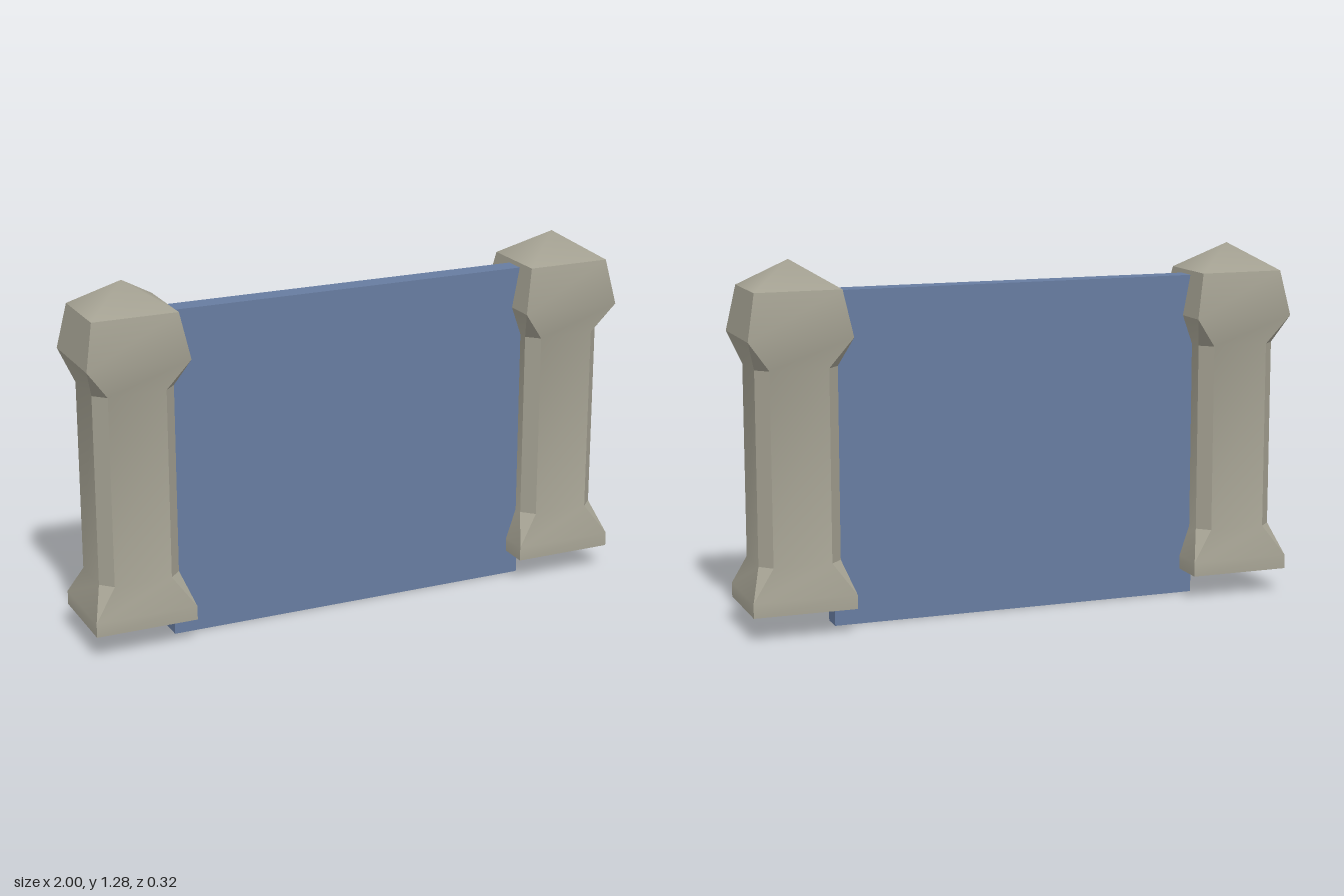
import * as THREE from 'three';
import { toCreasedNormals } from 'three/addons/utils/BufferGeometryUtils.js';

// Rectangular ring with half sizes hx, hz and corners cut back by cx, cz
function ring(y, hx, hz, cx = 0, cz = 0) {
  return [
    [hx, y, hz - cz], [hx - cx, y, hz],
    [cx - hx, y, hz], [-hx, y, hz - cz],
    [-hx, y, cz - hz], [cx - hx, y, -hz],
    [hx - cx, y, -hz], [hx, y, cz - hz],
  ];
}

// Joins stacked rings into a closed-bottom skin, skipping collapsed triangles
function loft(rings) {
  const pos = [];
  const same = (p, q) => p.every((v, i) => Math.abs(v - q[i]) < 1e-6);
  const tri = (a, b, c) => {
    if (!same(a, b) && !same(b, c) && !same(a, c)) pos.push(...a, ...b, ...c);
  };
  for (let r = 0; r < rings.length - 1; r++) {
    const lo = rings[r], hi = rings[r + 1];
    for (let i = 0; i < 8; i++) {
      const j = (i + 1) % 8;
      tri(lo[i], hi[i], lo[j]);
      tri(lo[j], hi[i], hi[j]);
    }
  }
  const base = rings[0];
  for (let i = 1; i < 7; i++) tri(base[0], base[i], base[i + 1]);
  const g = new THREE.BufferGeometry();
  g.setAttribute('position', new THREE.Float32BufferAttribute(pos, 3));
  return toCreasedNormals(g, Math.PI / 6);
}

// Low four-sided roof with softly blended faces
function roof(y, hx, hz, top) {
  const g = new THREE.BufferGeometry();
  g.setAttribute('position', new THREE.Float32BufferAttribute([
    hx, y, hz, -hx, y, hz, -hx, y, -hz, hx, y, -hz, 0, top, 0,
  ], 3));
  g.setIndex([0, 4, 1, 1, 4, 2, 2, 4, 3, 3, 4, 0]);
  g.computeVertexNormals();
  return g;
}

export function createModel() {
  const stone = new THREE.MeshStandardMaterial({ color: 0xa5a293 });
  stone.name = 'stone';
  const blue = new THREE.MeshStandardMaterial({ color: 0x677ca0 });
  blue.name = 'blue panel';

  const model = new THREE.Group();
  model.name = 'barrier';

  // Panel between the posts
  const panel = new THREE.Mesh(new THREE.BoxGeometry(1.36, 1.175, 0.077), blue);
  panel.name = 'panel';
  panel.position.set(0, 0.5875, 0.011);
  model.add(panel);

  // Post: plinth, flare, chamfered shaft, flare, tapered head
  const bodyGeometry = loft([
    ring(0.09, 0.1825, 0.158),
    ring(0.14, 0.1825, 0.158),
    ring(0.25, 0.145, 0.127, 0.042, 0.043),
    ring(0.925, 0.145, 0.127, 0.042, 0.043),
    ring(1.03, 0.1825, 0.158),
    ring(1.19, 0.152, 0.131),
  ]);
  const roofGeometry = roof(1.19, 0.152, 0.131, 1.285);

  for (const [side, name] of [[1, 'leftPost'], [-1, 'rightPost']]) {
    const post = new THREE.Group();
    post.name = name;
    const body = new THREE.Mesh(bodyGeometry, stone);
    body.name = 'postBody';
    const cap = new THREE.Mesh(roofGeometry, stone);
    cap.name = 'postCap';
    post.add(body, cap);
    post.position.x = side * 0.8175;
    model.add(post);
  }
  return model;
}
